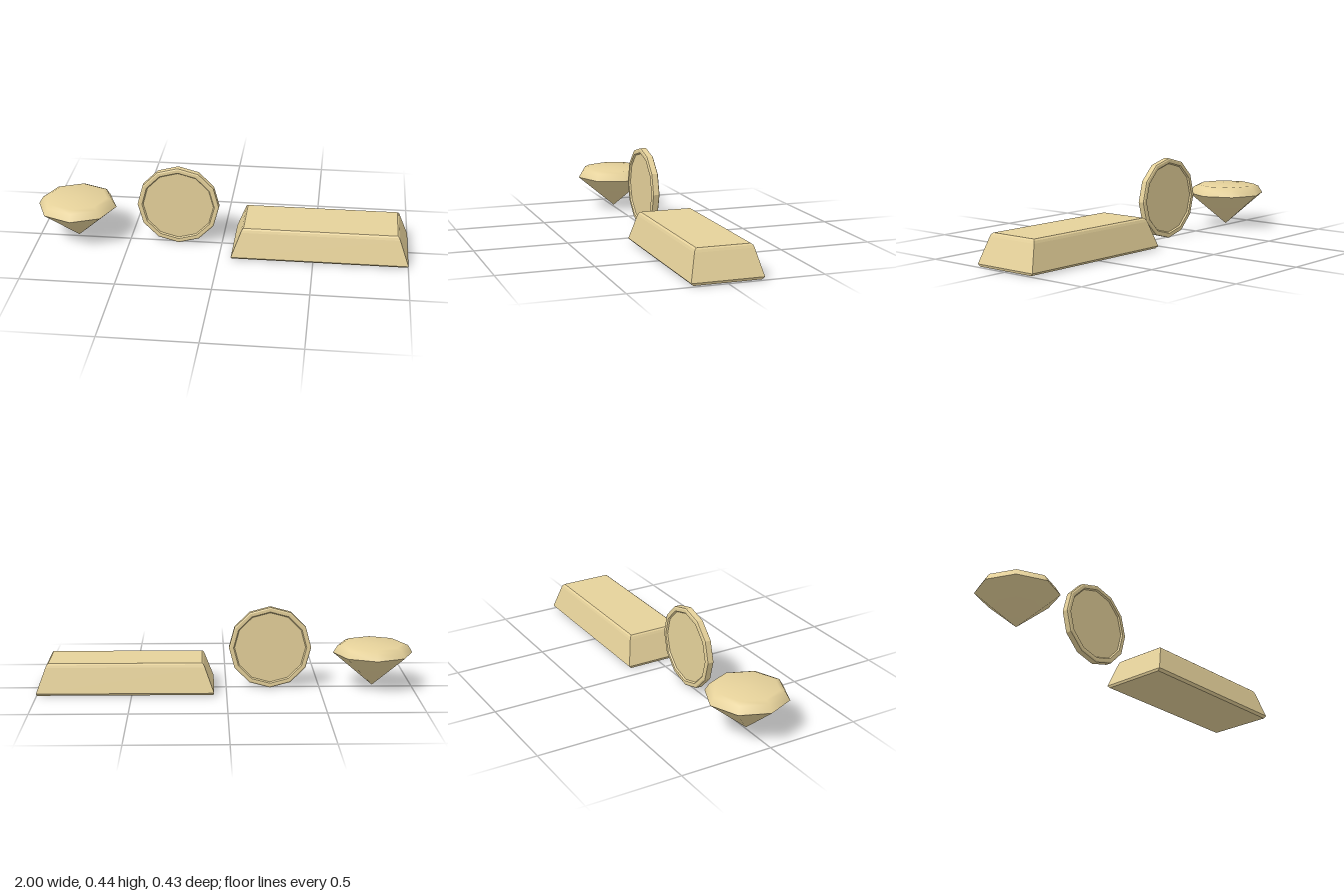
import * as THREE from 'three';
import { toCreasedNormals } from 'three/addons/utils/BufferGeometryUtils.js';

const gold = new THREE.MeshStandardMaterial({ color: 0xe5d19a });
const goldFlat = new THREE.MeshStandardMaterial({ color: 0xe5d19a, flatShading: true });

// Turned solid from [radius, height] pairs running bottom to top
function turned(name, profile, sides, material) {
  const points = profile.map(([r, y]) => new THREE.Vector2(r, y));
  const geometry = toCreasedNormals(new THREE.LatheGeometry(points, sides), THREE.MathUtils.degToRad(45));
  const mesh = new THREE.Mesh(geometry, material);
  mesh.name = name;
  return mesh;
}

// Tapered bar: a box whose height levels take their own half sizes
function makeBar() {
  // [y, half length, half width]
  const levels = [
    [0.005, 0.462, 0.173],
    [0.018, 0.467, 0.186],
    [0.15, 0.418, 0.152],
    [0.163, 0.412, 0.147],
    [0.17, 0.404, 0.138],
  ];
  const steps = levels.length - 1;
  const geometry = new THREE.BoxGeometry(2, 1, 2, 1, steps, 1);
  const pos = geometry.attributes.position;
  for (let i = 0; i < pos.count; i++) {
    const [y, hx, hz] = levels[Math.round((pos.getY(i) + 0.5) * steps)];
    pos.setXYZ(i, pos.getX(i) * hx, y, pos.getZ(i) * hz);
  }
  geometry.computeVertexNormals();
  const mesh = new THREE.Mesh(geometry, goldFlat);
  mesh.name = 'goldBar';
  return mesh;
}

export function createModel() {
  const group = new THREE.Group();
  group.name = 'treasure';

  // Eight-sided cut gem with a pointed base
  const gem = turned('gem', [
    [0, 0.01], [0.213, 0.19], [0.19, 0.228], [0.163, 0.24], [0, 0.24],
  ], 8, gold);
  gem.position.x = -0.787;

  // Twelve-sided coin standing on edge, raised rim on both faces
  const half = [[0, 0.012], [0.19, 0.012], [0.196, 0.02], [0.213, 0.02], [0.22, 0.016]];
  const coin = turned('coin', [
    ...half.map(([r, y]) => [r, -y]),
    ...half.slice().reverse(),
  ], 12, goldFlat);
  coin.rotation.x = Math.PI / 2;
  coin.position.set(-0.235, 0.221, 0);

  // Gold bar
  const bar = makeBar();
  bar.position.x = 0.533;

  group.add(gem, coin, bar);
  return group;
}
